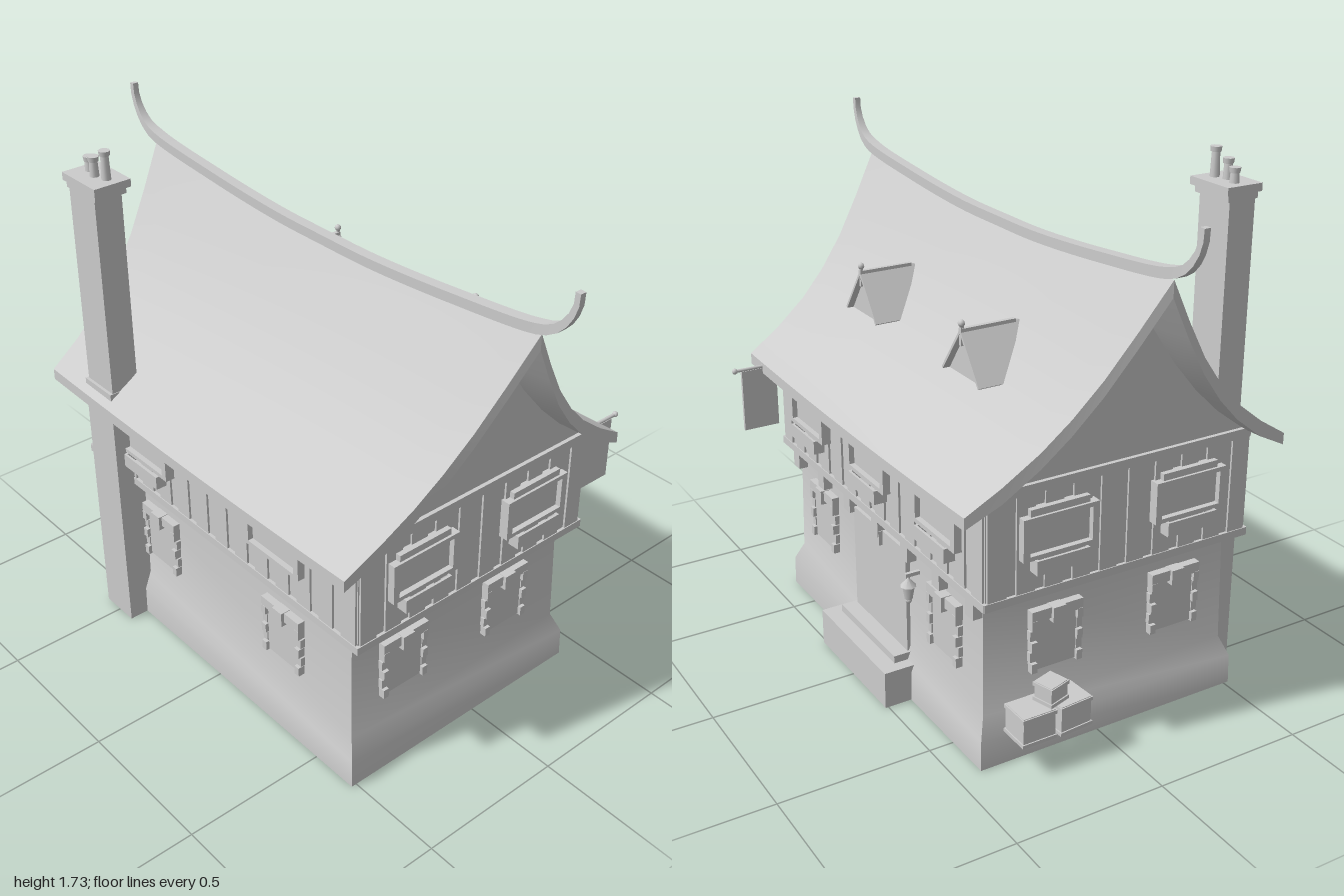
import * as THREE from 'three';
import { toCreasedNormals } from 'three/addons/utils/BufferGeometryUtils.js';

const stone = new THREE.MeshStandardMaterial({ color: 0xcccccc, side: THREE.DoubleSide });
stone.name = 'plain grey';
const MID = 0.05; // z of the ridge and of the house body

function add(parent, name, geometry, x = 0, y = 0, z = 0) {
  const mesh = new THREE.Mesh(geometry, stone);
  mesh.name = name;
  mesh.position.set(x, y, z);
  parent.add(mesh);
  return mesh;
}
const box = (parent, name, w, h, d, x, y, z) =>
  add(parent, name, new THREE.BoxGeometry(w, h, d), x, y, z);

// Skin over closed loops of [x, y, z]; caps join point i with its opposite
function loft(loops, capped) {
  const pos = [], n = loops[0].length, last = loops.length - 1;
  const quad = (a, b, c, d) => pos.push(...a, ...b, ...c, ...a, ...c, ...d);
  for (let s = 0; s < last; s++) for (let i = 0; i < n; i++) {
    const j = (i + 1) % n;
    quad(loops[s][i], loops[s + 1][i], loops[s + 1][j], loops[s][j]);
  }
  if (capped) for (let i = 0; i < n / 2 - 1; i++) {
    const [A, B] = [loops[0], loops[last]];
    quad(A[i], A[i + 1], A[n - 2 - i], A[n - 1 - i]);
    quad(B[i], B[n - 1 - i], B[n - 2 - i], B[i + 1]);
  }
  const g = new THREE.BufferGeometry();
  g.setAttribute('position', new THREE.Float32BufferAttribute(pos, 3));
  return toCreasedNormals(g, 0.5);
}

// Half roof profile: [distance from ridge, height], eave to ridge
const PROFILE = [[0.56, 0.89], [0.45, 0.96], [0.34, 1.045], [0.255, 1.13], [0.17, 1.235], [0.085, 1.365], [0, 1.505]];

function roofGeometry() {
  const half = PROFILE.map(([d, y]) => [d, y, y - (d > 0.5 ? 0.038 : 0.05)]);
  const full = [...half, ...half.slice(0, -1).reverse().map(([d, y, u]) => [-d, y, u])];
  const loops = [];
  for (let s = 0; s <= 16; s++) {
    const t = s / 8 - 1;
    const point = ([d, y, under], low) => {
      const k = (y - 0.89) / 0.615;
      const sag = (0.012 + 0.043 * k) * (1 - t * t);
      return [t * (0.735 + 0.14 * k), (low ? under : y) - sag, MID + d];
    };
    loops.push([...full.map(p => point(p, false)), ...full.map(p => point(p, true)).reverse()]);
  }
  return loft(loops, true);
}

// Sagging ridge beam with upturned horns
function ridgeGeometry() {
  const right = [[0.22, 1.464], [0.55, 1.487], [0.87, 1.525], [0.93, 1.55], [0.97, 1.595], [0.988, 1.64], [0.99, 1.675]];
  const pts = [...right.map(([x, y]) => [-x, y]).reverse(), [0, 1.462], ...right];
  const curve = new THREE.CatmullRomCurve3(pts.map(([x, y]) => new THREE.Vector3(x, y, 0)));
  const loops = [];
  for (let i = 0; i <= 60; i++) {
    const p = curve.getPointAt(i / 60), t = curve.getTangentAt(i / 60);
    const k = Math.max(0, (Math.abs(p.x) - 0.88) / 0.11);
    const h = 0.016 - 0.007 * k, w = 0.018 - 0.008 * k;
    const at = (sy, sz) => [p.x - t.y * h * sy, p.y + t.x * h * sy, MID + w * sz];
    loops.push([at(1, 1), at(1, -1), at(-1, -1), at(-1, 1)]);
  }
  return loft(loops, true);
}

// Upper window: frame, recessed pane, lintel, sill and flower box
function upperWindow(parent, u, out, planter = true) {
  const g = new THREE.Group();
  g.name = 'upperWindow';
  g.position.set(u, 0.755, out);
  parent.add(g);
  box(g, 'pane', 0.24, 0.12, 0.012, 0, 0, 0.008);
  for (const s of [-1, 1]) {
    box(g, 'jamb', 0.022, 0.13, 0.032, s * 0.117, 0, 0.016);
    box(g, 'rail', 0.256, 0.014, 0.032, 0, s * 0.06, 0.016);
  }
  box(g, 'lintel', 0.2, 0.022, 0.024, 0, 0.078, 0.012);
  if (!planter) return;
  box(g, 'planterFloor', 0.18, 0.01, 0.045, 0, -0.107, 0.0225);
  box(g, 'planterFront', 0.18, 0.045, 0.008, 0, -0.088, 0.041);
  for (const s of [-1, 1]) box(g, 'planterEnd', 0.008, 0.045, 0.045, s * 0.086, -0.088, 0.0225);
}

// Lower window: flat panel with rough edge stones and keystone
function lowerWindow(parent, u, out) {
  const g = new THREE.Group();
  g.name = 'lowerWindow';
  g.position.set(u, 0.37, out);
  parent.add(g);
  box(g, 'panel', 0.17, 0.2, 0.024, 0, 0, 0);
  box(g, 'hood', 0.18, 0.035, 0.034, 0, 0.0875, 0.006);
  box(g, 'keystone', 0.045, 0.05, 0.044, 0, 0.082, 0.012);
  for (const s of [-1, 1]) for (let i = 0; i < 5; i++)
    box(g, 'edgeStone', 0.02, 0.032, i % 2 ? 0.024 : 0.04, s * (i % 2 ? 0.082 : 0.08), -0.087 + i * 0.036, 0.004);
}

// One side of the house, built facing +z and then turned
function side(house, name, angle, o) {
  const g = new THREE.Group();
  g.name = name;
  g.rotation.y = angle;
  house.add(g);
  const n = Math.round((o.width - 0.07) / 0.1);
  for (let i = 0; i <= n; i++) {
    const u = (i / n - 0.5) * (o.width - 0.07);
    box(g, 'post', 0.062, 0.31, 0.014, u, 0.73, o.upper);
  }
  box(g, 'sillBeam', o.width + 0.016, 0.026, 0.02, 0, 0.563, o.upper);
  box(g, 'topBeam', o.width, 0.03, 0.016, 0, 0.9, o.upper);
  for (const [u, planter] of o.upperWindows) upperWindow(g, u, o.upper, planter);
  for (const u of o.lowerWindows) lowerWindow(g, u, o.lower);
  return g;
}

// Small gabled dormer at the back
function dormer(parent, x) {
  const g = new THREE.Group();
  g.name = 'dormer';
  g.position.set(x, 1.11, 0);
  parent.add(g);
  const face = new THREE.Shape([new THREE.Vector2(-0.095, 0), new THREE.Vector2(0.095, 0), new THREE.Vector2(0, 0.135)]);
  add(g, 'dormerFront', new THREE.ExtrudeGeometry(face, { depth: 0.05, bevelEnabled: false }), 0, 0, -0.265);
  const len = Math.hypot(0.105, 0.145), tilt = Math.atan2(0.145, 0.105);
  for (const s of [-1, 1]) {
    const slope = box(g, 'dormerRoof', len, 0.008, 0.2, s * 0.0525, 0.0725, -0.185);
    slope.rotation.z = -s * tilt;
  }
  box(g, 'dormerRidge', 0.014, 0.014, 0.185, 0, 0.146, -0.192);
  box(g, 'finialPost', 0.01, 0.07, 0.01, 0, 0.135, -0.279);
  add(g, 'finialBall', new THREE.SphereGeometry(0.011, 8, 6), 0, 0.168, -0.279);
}

export function createModel() {
  const house = new THREE.Group();
  house.name = 'house';

  // Hollow flared ground floor
  const rings = [[0, 0.667, 0.468], [0.1, 0.665, 0.466], [0.165, 0.634, 0.441], [0.56, 0.625, 0.435]];
  add(house, 'groundFloorWalls', loft(rings.map(([y, w, d]) =>
    [[w, y, MID + d], [-w, y, MID + d], [-w, y, MID - d], [w, y, MID - d]]), false));

  // Overhanging upper floor and gables
  box(house, 'upperFloor', 1.37, 0.365, 0.93, 0, 0.7325, MID);
  const half = PROFILE.slice(1).map(([d, y]) => new THREE.Vector2(d, y - 0.035));
  const gable = new THREE.Shape([new THREE.Vector2(0.45, 0.88), ...half,
    ...half.slice(0, -1).reverse().map(p => new THREE.Vector2(-p.x, p.y)), new THREE.Vector2(-0.45, 0.88)]);
  const gableGeometry = new THREE.ExtrudeGeometry(gable, { depth: 0.02, bevelEnabled: false }).rotateY(Math.PI / 2);
  for (const x of [-0.68, 0.66]) add(house, 'gable', gableGeometry, x, 0, MID);

  add(house, 'roof', roofGeometry());
  add(house, 'ridgeBeam', ridgeGeometry());
  for (const x of [-0.325, 0.32]) dormer(house, x);

  // Four dressed sides
  const walls = new THREE.Group();
  walls.name = 'walls';
  walls.position.z = MID;
  house.add(walls);
  side(walls, 'frontSide', 0, { width: 1.37, upper: 0.465, lower: 0.438,
    upperWindows: [[-0.33, true], [0.33, false]], lowerWindows: [-0.325, 0.32] });
  for (const s of [-1, 1]) side(walls, 'gableSide', s * Math.PI / 2, { width: 0.93, upper: 0.685, lower: 0.63,
    upperWindows: [[-0.23, true], [0.23, true]], lowerWindows: [-0.24, 0.195].map(u => u * s) });
  const back = side(walls, 'backSide', Math.PI, { width: 1.37, upper: 0.465, lower: 0.438,
    upperWindows: [[-0.44, true], [0, true], [0.44, true]], lowerWindows: [-0.42, 0.42] });

  // Door, steps and joist ends
  box(back, 'door', 0.36, 0.37, 0.03, 0, 0.325, 0.437);
  box(back, 'doorKeystone', 0.05, 0.05, 0.05, 0, 0.485, 0.44);
  box(back, 'lowerStep', 0.46, 0.125, 0.13, 0, 0.0625, 0.495);
  box(back, 'upperStep', 0.38, 0.15, 0.08, 0, 0.075, 0.465);
  for (let i = 0; i < 7; i++) box(back, 'joistEnd', 0.045, 0.06, 0.05, -0.6 + i * 0.2, 0.52, 0.443);

  // Lantern by the door
  box(back, 'lanternArm', 0.012, 0.012, 0.06, 0.24, 0.46, 0.455);
  add(back, 'lanternHood', new THREE.ConeGeometry(0.026, 0.03, 8), 0.24, 0.437, 0.475);
  add(back, 'lanternBody', new THREE.CylinderGeometry(0.021, 0.013, 0.045, 8), 0.24, 0.4, 0.475);
  add(back, 'lanternFoot', new THREE.SphereGeometry(0.011, 8, 6), 0.24, 0.372, 0.475);

  // Hanging sign at the back corner
  const pole = add(house, 'signPole', new THREE.CylinderGeometry(0.006, 0.006, 0.2, 8), 0.643, 0.872, -0.51);
  pole.rotation.x = Math.PI / 2;
  add(house, 'signPoleTip', new THREE.SphereGeometry(0.01, 8, 6), 0.643, 0.872, -0.608);
  box(house, 'signBoard', 0.012, 0.215, 0.125, 0.643, 0.76, -0.523);

  // Chimney with cap and pots
  box(house, 'chimneyBase', 0.145, 0.92, 0.15, -0.502, 0.46, 0.51);
  box(house, 'chimneyShaft', 0.138, 0.72, 0.095, -0.501, 1.26, 0.5275);
  box(house, 'chimneyCollar', 0.155, 0.025, 0.11, -0.499, 1.6, 0.524);
  box(house, 'chimneyCap', 0.176, 0.025, 0.128, -0.498, 1.622, 0.522);
  [[-0.543, 0.515, 0.045], [-0.497, 0.528, 0.062], [-0.453, 0.515, 0.09]].forEach(([x, z, h]) => {
    add(house, 'chimneyPot', new THREE.CylinderGeometry(0.012, 0.015, h, 10), x, 1.632 + h / 2, z);
    add(house, 'chimneyPotRim', new THREE.CylinderGeometry(0.018, 0.016, 0.016, 10), x, 1.628 + h, z);
  });

  // Crates stacked by the side wall
  for (const [y, z, s, turn] of [[0.16, -0.28, 0.1, 0], [0.16, -0.155, 0.1, 0.08], [0.243, -0.21, 0.066, 0.3]]) {
    const crate = box(house, 'crate', s, s, s * 1.1, -0.72, y, z);
    crate.rotation.y = turn;
    for (const k of [-1, 1]) box(crate, 'crateBatten', s + 0.008, 0.012, s * 1.1 + 0.008, 0, k * (s / 2 - 0.008), 0);
  }
  return house;
}
